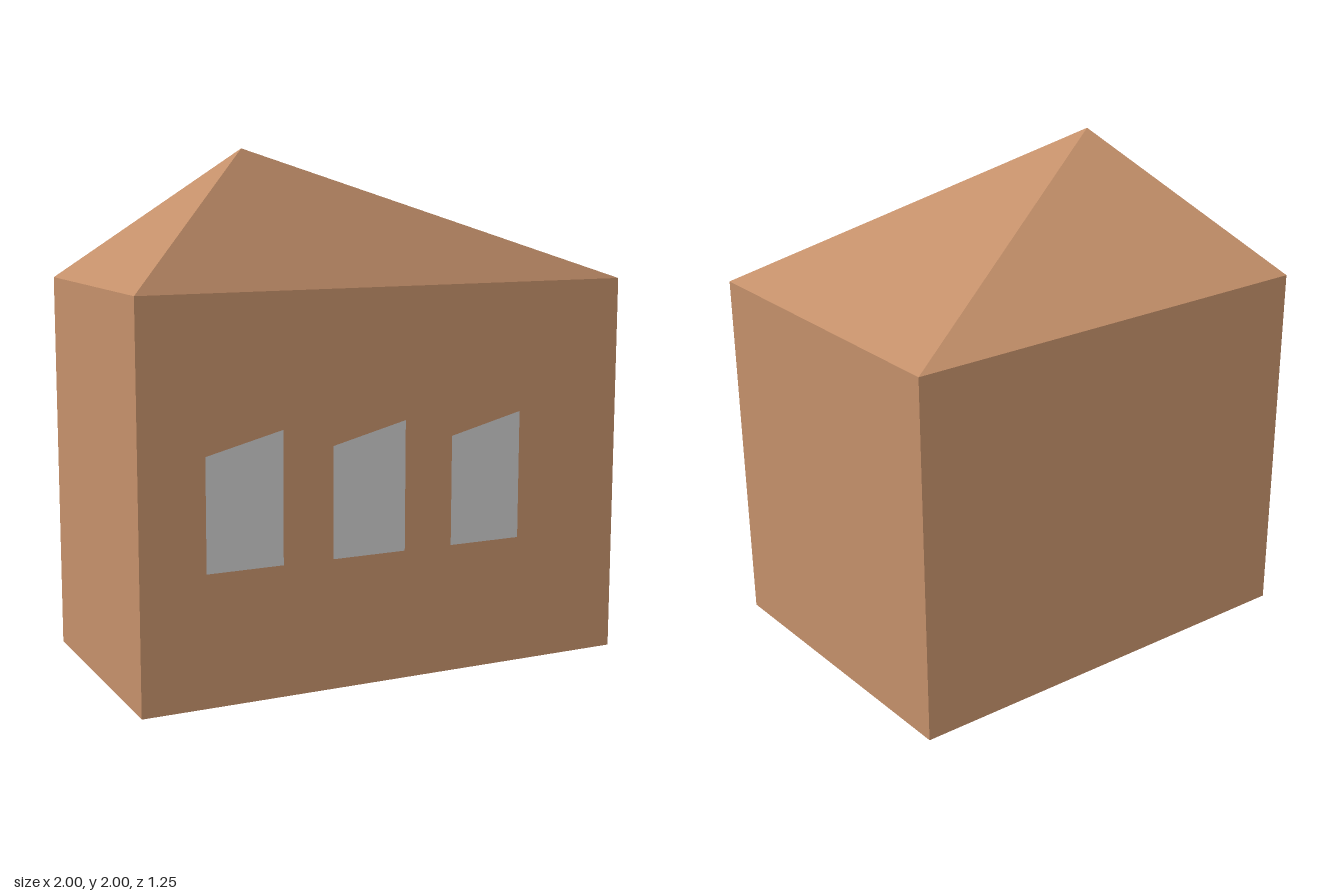
import * as THREE from 'three';

// Flat-shaded mesh from a list of triangles, each made of three corner points
function facets(name, triangles, material) {
  const geometry = new THREE.BufferGeometry();
  geometry.setAttribute('position', new THREE.Float32BufferAttribute(triangles.flat(2), 3));
  geometry.computeVertexNormals();
  const mesh = new THREE.Mesh(geometry, material);
  mesh.name = name;
  return mesh;
}

export function createModel() {
  const group = new THREE.Group();
  group.name = 'house';

  const clay = new THREE.MeshStandardMaterial({ color: 0xc4906a });
  clay.name = 'clay brown';
  const glass = new THREE.MeshStandardMaterial({ color: 0xcccccc });
  glass.name = 'window grey';

  // Skewed footprint (x, z), counter-clockwise from above, starting at the front
  const plan = [[-1, 0.625], [1, 0.625], [0.75, -0.625], [-1, -0.375]];
  const eaves = 1.5;
  const apex = [-0.5, 2, 0.375];
  const low = plan.map(([x, z]) => [x, 0, z]);
  const high = plan.map(([x, z]) => [x, eaves, z]);

  // Walls and off-centre pyramid roof
  const walls = [], roof = [];
  for (let i = 0; i < 4; i++) {
    const j = (i + 1) % 4;
    walls.push([low[i], low[j], high[j]], [low[i], high[j], high[i]]);
    roof.push([high[i], high[j], apex]);
  }
  const base = [[low[0], low[2], low[1]], [low[0], low[3], low[2]]];
  group.add(facets('walls', walls, clay), facets('roof', roof, clay), facets('base', base, clay));

  // Row of three windows with slanted tops on the front wall
  const pane = new THREE.Shape([[0, 0], [0.3, 0], [0.3, 0.5], [0, 0.425]].map(([x, y]) => new THREE.Vector2(x, y)));
  const paneGeometry = new THREE.ShapeGeometry(pane);
  for (let i = 0; i < 3; i++) {
    const window = new THREE.Mesh(paneGeometry, glass);
    window.name = 'window' + (i + 1);
    window.position.set(-0.75 + i * 0.5, 0.5, 0.629);
    group.add(window);
  }
  return group;
}
